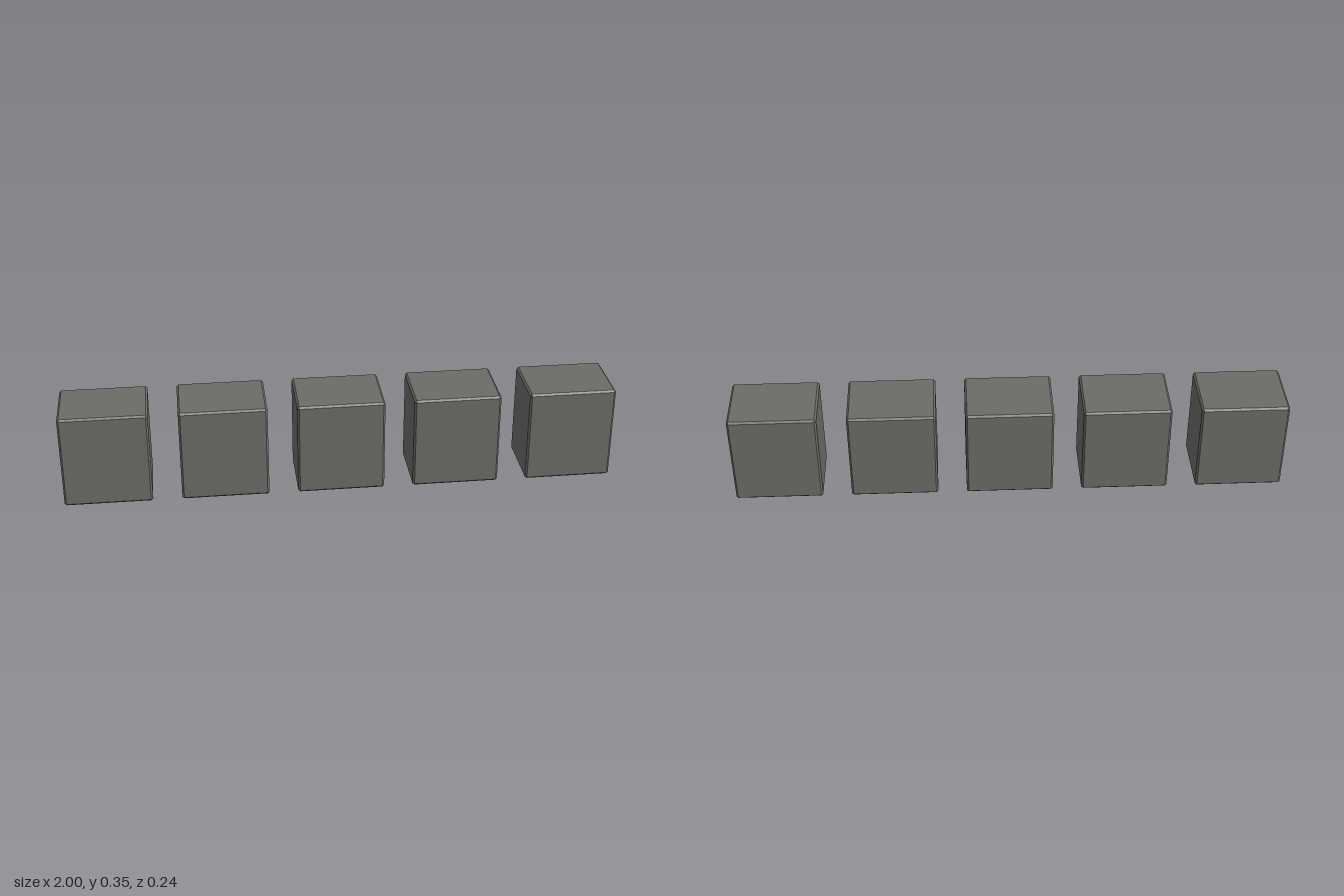
import * as THREE from 'three';
import { ConvexGeometry } from 'three/addons/geometries/ConvexGeometry.js';

// Box with every edge bevelled: three corner points per box corner
function chamferBox(w, h, d, c) {
  const points = [];
  for (const sx of [-1, 1]) for (const sy of [-1, 1]) for (const sz of [-1, 1]) {
    const x = w / 2, y = h / 2, z = d / 2;
    points.push(
      new THREE.Vector3(sx * x, sy * (y - c), sz * (z - c)),
      new THREE.Vector3(sx * (x - c), sy * y, sz * (z - c)),
      new THREE.Vector3(sx * (x - c), sy * (y - c), sz * z)
    );
  }
  return new ConvexGeometry(points);
}

export function createModel() {
  const group = new THREE.Group();
  group.name = 'blockRow';
  const stone = new THREE.MeshStandardMaterial({ name: 'dark grey stone', color: 0x6b6b67 });

  // Five equal blocks in an evenly spaced row
  const width = 0.316, height = 0.348, depth = 0.24;
  const spacing = (2 - width) / 4;
  const geometry = chamferBox(width, height, depth, 0.007);
  for (let i = 0; i < 5; i++) {
    const block = new THREE.Mesh(geometry, stone);
    block.name = `block${i + 1}`;
    block.position.set((i - 2) * spacing, height / 2, 0);
    group.add(block);
  }
  return group;
}
